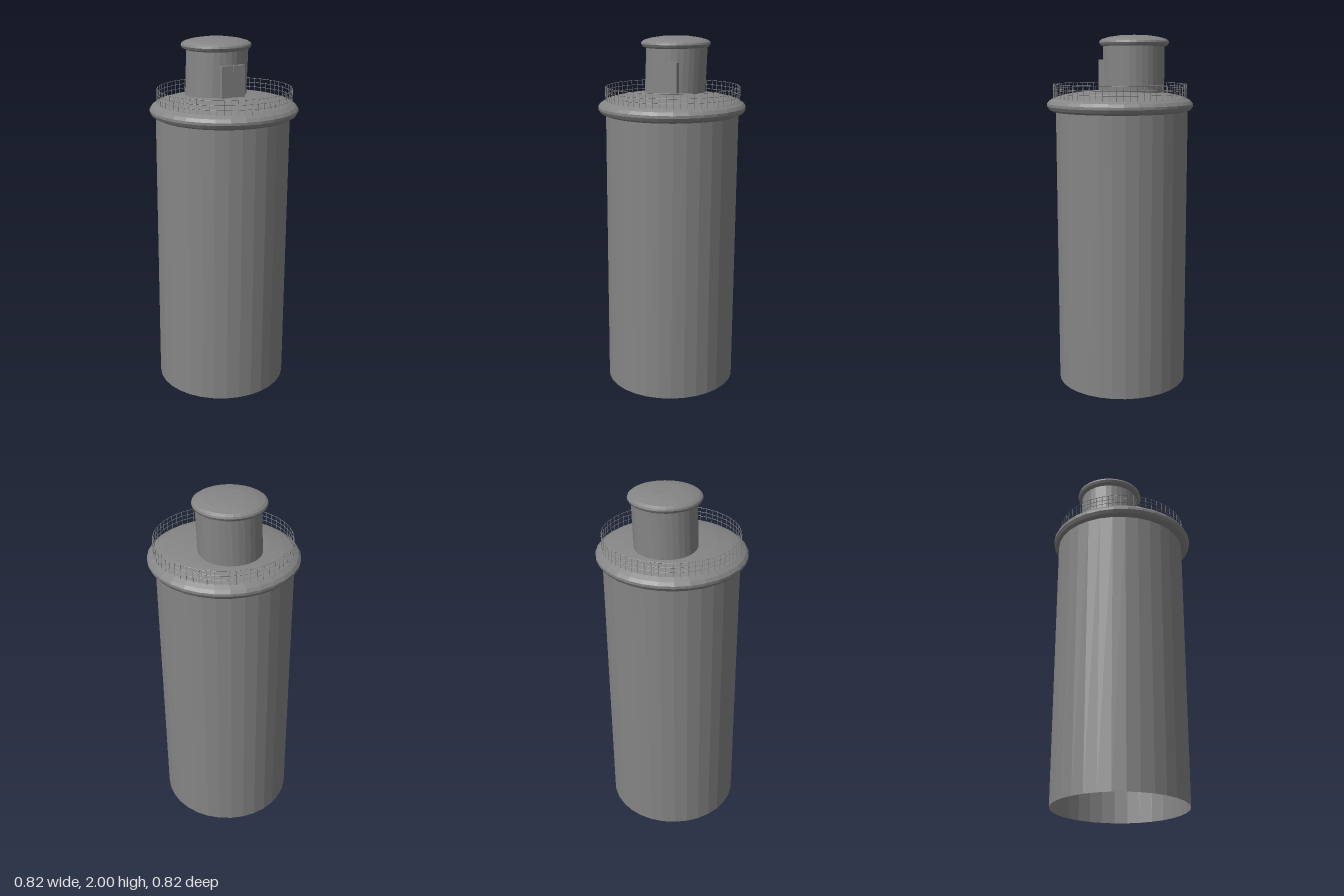
import * as THREE from 'three';

const SIDES = 32;

export function createModel() {
  const model = new THREE.Group();
  model.name = 'tower';

  const grey = new THREE.MeshStandardMaterial({ color: 0x858585 });
  grey.name = 'grey metal';
  grey.flatShading = true;
  grey.side = THREE.DoubleSide;

  const add = (name, geometry, parent = model, x = 0, y = 0, z = 0) => {
    const mesh = new THREE.Mesh(geometry, grey);
    mesh.name = name;
    mesh.position.set(x, y, z);
    parent.add(mesh);
    return mesh;
  };

  // Open tube from y0 to y1 whose foot is shifted sideways a little
  const leaningTube = (radius, y0, y1, footX, headX, z) => {
    const geometry = new THREE.CylinderGeometry(radius, radius, y1 - y0, SIDES, 1, true);
    const p = geometry.attributes.position;
    for (let i = 0; i < p.count; i++) {
      p.setX(i, p.getX(i) + (p.getY(i) > 0 ? headX : footX));
    }
    return geometry.translate(0, (y0 + y1) / 2, z);
  };

  const lathe = (points) =>
    new THREE.LatheGeometry(points.map(([r, y]) => new THREE.Vector2(r, y)), SIDES);

  // Main shaft, open at the foot
  add('shaft', leaningTube(0.372, 0, 1.6, -0.015, -0.002, -0.01));

  // Domed platform with a rounded rim
  add('platform', lathe([
    [0, 1.58], [0.375, 1.578], [0.4, 1.59], [0.411, 1.608], [0.411, 1.622], [0.398, 1.639],
    [0.372, 1.655], [0.32, 1.67], [0.25, 1.683], [0.17, 1.692], [0.08, 1.697], [0, 1.699],
  ]));

  // Turret and its domed roof
  add('turret', leaningTube(0.171, 1.685, 1.945, -0.012, -0.001, -0.077));
  add('turretRoof', lathe([
    [0, 1.937], [0.172, 1.936], [0.188, 1.944], [0.195, 1.957], [0.192, 1.967],
    [0.178, 1.977], [0.14, 1.988], [0.08, 1.997], [0, 2],
  ]), model, -0.008, 0, -0.078);

  // Double door on the turret front
  const door = new THREE.Group();
  door.name = 'door';
  model.add(door);
  for (const side of [-1, 1]) {
    add(side > 0 ? 'leftDoorLeaf' : 'rightDoorLeaf',
      new THREE.BoxGeometry(0.069, 0.175, 0.04), door, side * 0.035, 1.778, 0.091);
  }

  // Thin guard rail around the platform
  const railing = new THREE.Group();
  railing.name = 'railing';
  railing.position.set(0.004, 0, 0);
  model.add(railing);
  const railRadius = 0.373;
  for (const y of [1.68, 1.705, 1.73]) {
    const rail = new THREE.TorusGeometry(railRadius, 0.0015, 4, SIDES);
    add('rail', rail.rotateX(Math.PI / 2), railing, 0, y, 0);
  }
  const posts = 64;
  for (let i = 0; i < posts; i++) {
    const a = (i / posts) * Math.PI * 2;
    add('railPost', new THREE.CylinderGeometry(0.0015, 0.0015, 0.08, 4), railing,
      Math.cos(a) * railRadius, 1.69, Math.sin(a) * railRadius);
  }

  return model;
}
